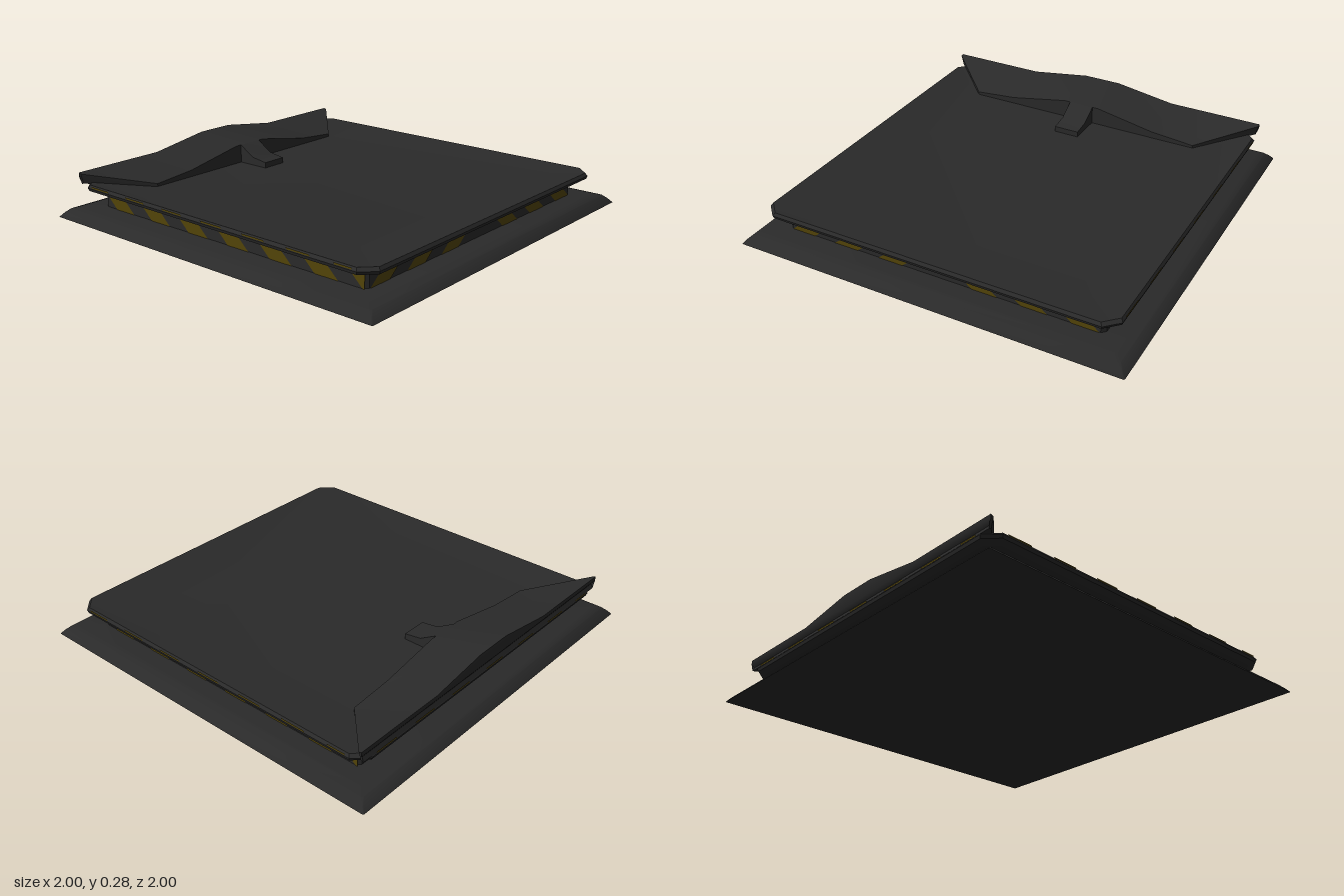
import * as THREE from 'three';
import { toCreasedNormals } from 'three/addons/utils/BufferGeometryUtils.js';

const body = new THREE.MeshStandardMaterial({ color: 0x2a2a2a });
body.name = 'charcoal';
const yellow = new THREE.MeshStandardMaterial({ color: 0x544508 });
yellow.name = 'dark yellow';

// Joins equal-sized closed rings of points with quads and caps both ends.
function loft(rings, crease) {
  const n = rings[0].length, index = [];
  for (let r = 0; r < rings.length - 1; r++) {
    for (let i = 0; i < n; i++) {
      const a = r * n + i, b = r * n + (i + 1) % n;
      index.push(a, b, b + n, a, b + n, a + n);
    }
  }
  const end = (rings.length - 1) * n;
  for (let i = 1; i < n - 1; i++) {
    index.push(0, i + 1, i, end, end + i, end + i + 1);
  }
  const g = new THREE.BufferGeometry();
  g.setAttribute('position', new THREE.Float32BufferAttribute(rings.flat(2), 3));
  g.setIndex(index);
  return toCreasedNormals(g, crease);
}

// Square outline of half-width h at height y, with corners cut by c.
function ring([h, y, c]) {
  const k = h - c;
  return [[h, y, k], [h, y, -k], [k, y, -h], [-k, y, -h],
    [-h, y, -k], [-h, y, k], [-k, y, h], [k, y, h]];
}

function add(parent, name, geometry, material = body) {
  const mesh = new THREE.Mesh(geometry, material);
  mesh.name = name;
  parent.add(mesh);
  return mesh;
}

// Slanted stripe between a and b at the bottom, moved by lean at the top.
function stripe(parent, a, b, lean, y0 = 0.052, y1 = 0.122, z = 0.838) {
  const lim = (x) => THREE.MathUtils.clamp(x, -0.83, 0.83);
  const shape = new THREE.Shape([[a, y0], [b, y0], [b + lean, y1], [a + lean, y1]]
    .map(([x, y]) => new THREE.Vector2(lim(x), y)));
  const mesh = add(parent, 'hazardStripe', new THREE.ShapeGeometry(shape), yellow);
  mesh.position.z = z;
}

export function createModel() {
  const group = new THREE.Group();

  // Stacked square body; the tray top is a shallow mitred dish
  add(group, 'basePlate', loft([[1, 0, 0.004], [0.982, 0.021, 0.005],
    [0.96, 0.041, 0.008], [0.925, 0.052, 0.01]].map(ring), 0.6));
  add(group, 'pedestal', loft([[0.835, 0.045, 0.02], [0.835, 0.13, 0.02]].map(ring), 0.6));
  add(group, 'topTray', loft([[0.83, 0.121, 0.05], [0.88, 0.13, 0.06], [0.915, 0.145, 0.065],
    [0.92, 0.16, 0.065], [0.91, 0.175, 0.065], [0.66, 0.145, 0.01]].map(ring), 0.6));

  // Raised rear lip: x, front z, front height, back height, underside height
  const half = [[0.92, -0.905, 0.222, 0.227, 0.17], [0.65, -0.65, 0.16, 0.227, 0.14],
    [0.42, -0.65, 0.18, 0.227, 0.14], [0.1, -0.65, 0.24, 0.275, 0.14]];
  const stations = [...half.map(([x, ...r]) => [-x, ...r]), ...half.slice().reverse()];
  add(group, 'rearLip', loft(stations.map(([x, z, yf, yb, under]) => {
    const low = THREE.MathUtils.clamp(x, -0.906, 0.906);
    return [[low, under, z], [x, yf, z], [x, yb, -0.92], [x, 0.205, -0.92],
      [low, 0.187, -0.908], [low, 0.165, -0.918]].reverse();
  }), 0.6));

  // Sloping tab in the middle of the lip
  const tab = [[-0.7, 0.14], [-0.7, 0.243], [-0.65, 0.24], [-0.56, 0.187], [-0.47, 0.174], [-0.47, 0.14]];
  add(group, 'centreTab', loft([-0.067, 0.067].map((x) =>
    tab.map(([z, y]) => [x, y, z])), 0.6));

  // Hazard stripes: mirrored about the middle on the front, continuous elsewhere
  for (let side = 0; side < 4; side++) {
    const panel = new THREE.Group();
    panel.name = ['frontStripes', 'leftStripes', 'backStripes', 'rightStripes'][side];
    panel.rotation.y = side * Math.PI / 2;
    group.add(panel);
    if (side === 0) {
      for (let i = 0; i < 3; i++) {
        const a = 0.185 + i * 0.248;
        stripe(panel, a, a + 0.13, -0.085);
        stripe(panel, -a - 0.13, -a, 0.085);
      }
    } else {
      for (let i = 0; i < 7; i++) {
        const a = -0.74 + i * 0.26;
        stripe(panel, a, a + 0.13, -0.075);
        // Thin dashes along the tray rim
        stripe(panel, a - 0.08, a + 0.05, -0.008, 0.164, 0.172, 0.9205);
      }
    }
  }
  return group;
}
